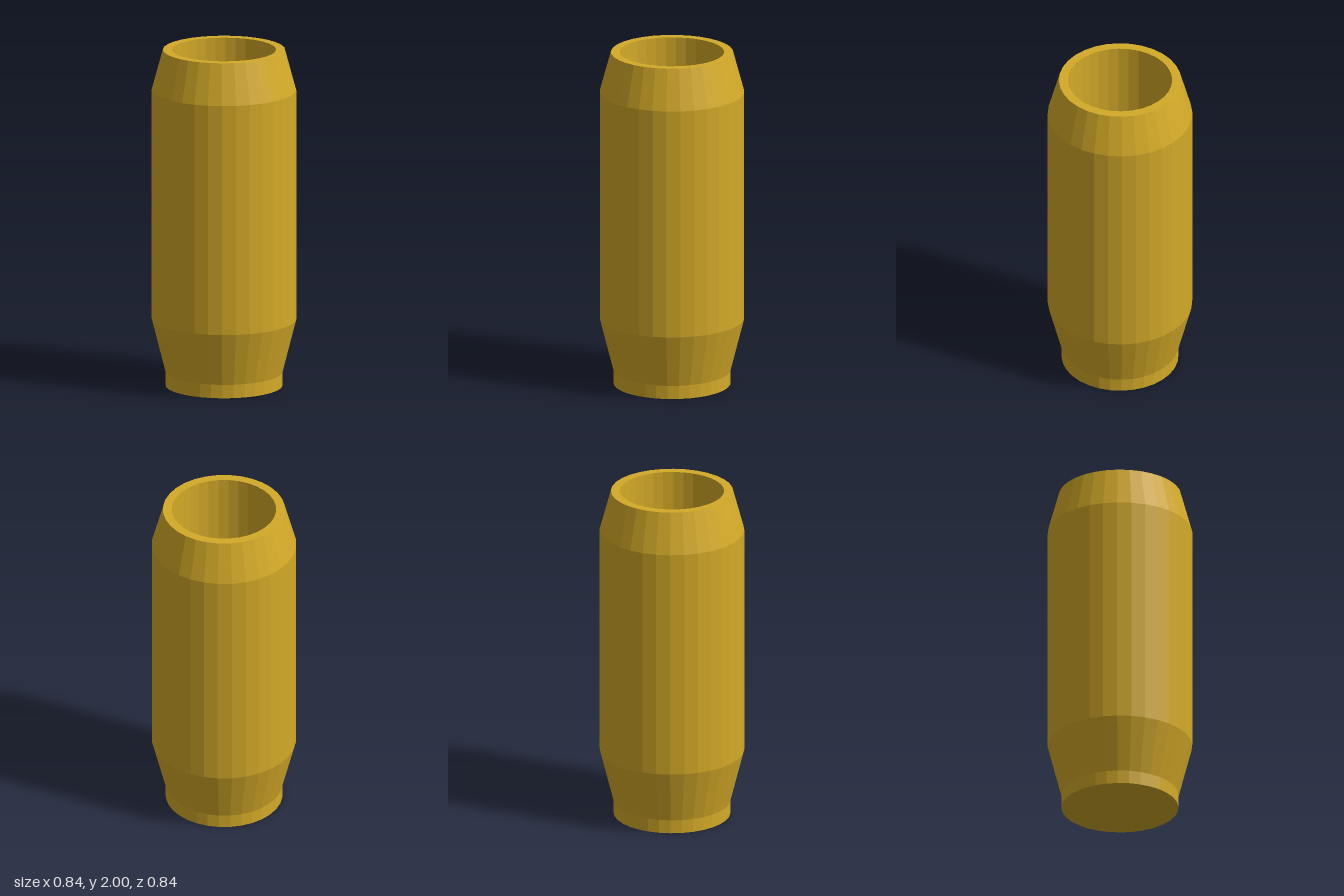
import * as THREE from 'three';

export function createModel() {
  const model = new THREE.Group();
  model.name = 'casing';
  const material = new THREE.MeshStandardMaterial({ color: 0xd4aa28, flatShading: true });

  // Hollow casing: closed base, narrow foot, flared body, tapered mouth and straight bore
  const profile = [
    [0, 0], [0.34, 0], [0.34, 0.08], [0.42, 0.395], [0.42, 1.76],
    [0.355, 2], [0.303, 2], [0.303, 0.08], [0, 0.08],
  ].map(([r, y]) => new THREE.Vector2(r, y));

  const shell = new THREE.Mesh(new THREE.LatheGeometry(profile, 32), material);
  shell.name = 'shell';
  model.add(shell);
  return model;
}
